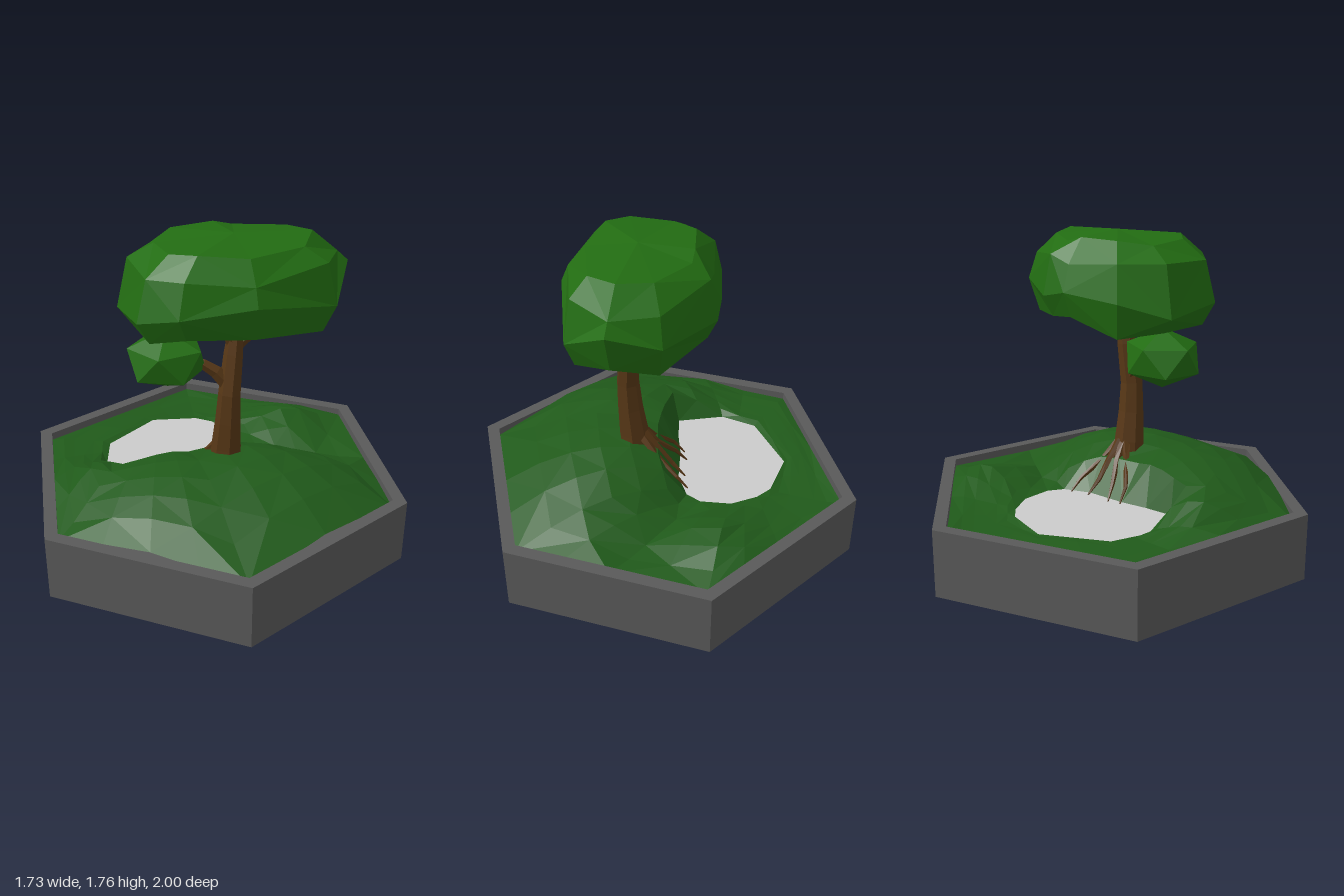
import * as THREE from 'three';

const mat = (color) => new THREE.MeshStandardMaterial({ color, flatShading: true });
const stone = mat(0x595959), grass = mat(0x205a1a), leaf = mat(0x226c12);
const bark = mat(0x573716), water = mat(0xcccccc);

function addMesh(parent, name, geometry, material) {
  const mesh = new THREE.Mesh(geometry, material);
  mesh.name = name;
  parent.add(mesh);
  return mesh;
}

// Skin a stack of closed rings (equal point counts, counter-clockwise from above, bottom to top)
function loft(rings) {
  const n = rings[0].length, pos = [], idx = [];
  rings.forEach((ring) => ring.forEach((p) => pos.push(...p)));
  for (let k = 0; k < rings.length - 1; k++) {
    for (let i = 0; i < n; i++) {
      const j = (i + 1) % n;
      const a = k * n + i, b = k * n + j, c = b + n, d = a + n;
      if ((i + k) % 2) idx.push(a, b, d, b, c, d);
      else idx.push(a, b, c, a, c, d);
    }
  }
  const g = new THREE.BufferGeometry();
  g.setAttribute('position', new THREE.Float32BufferAttribute(pos, 3));
  g.setIndex(idx);
  g.computeVertexNormals();
  return g;
}

// Tapered limb through points [x, y, z, radius]
function limb(points, sides) {
  const v = points.map((p) => new THREE.Vector3(p[0], p[1], p[2]));
  const up = new THREE.Vector3(0, 1, 0);
  const rings = points.map((p, k) => {
    const dir = v[Math.min(k + 1, v.length - 1)].clone().sub(v[Math.max(k - 1, 0)]).normalize();
    const q = new THREE.Quaternion().setFromUnitVectors(up, dir);
    return Array.from({ length: sides }, (_, i) => {
      const a = (i / sides) * Math.PI * 2;
      return new THREE.Vector3(Math.sin(a) * p[3], 0, Math.cos(a) * p[3]).applyQuaternion(q).add(v[k]).toArray();
    });
  });
  const end = v[v.length - 1].toArray();
  rings.push(rings[0].map(() => end));
  return loft(rings);
}

// Ground height: a broad hill in front of the pond and two low side mounds
function groundHeight(x, z) {
  const u = x / 0.82, v = (z - 0.25) / (z > 0.25 ? 0.62 : 0.45);
  const mound = (cx, cz) => 0.09 * Math.exp(-((x - cx) ** 2 + (z - cz) ** 2) / 0.035);
  const hill = 0.23 * Math.max(0, 1 - u * u - v * v);
  return 0.46 + hill + mound(-0.64, 0) + mound(0.48, -0.4);
}

// Outline of the pond, one point per 30 degrees of the hexagon
const pondOutline = [
  [-0.15, -0.05], [0.05, -0.1], [0.17, -0.18], [0.2, -0.26], [0.17, -0.41], [0.08, -0.52],
  [0, -0.57], [-0.24, -0.59], [-0.5, -0.37], [-0.53, -0.18], [-0.42, 0.04], [-0.28, 0],
];
const POND_Y = 0.46;

function makeGround() {
  const n = 24;
  const corner = (k) => [0.93 * Math.sin(k * Math.PI / 3), 0.93 * Math.cos(k * Math.PI / 3)];
  const mix = (a, b, t) => [a[0] + (b[0] - a[0]) * t, a[1] + (b[1] - a[1]) * t];
  const rings = [1, 0.8, 0.62, 0.45, 0.28, 0.12, 0].map((t) =>
    Array.from({ length: n }, (_, i) => {
      const h = Math.floor(i / 4), p = Math.floor(i / 2);
      const rim = mix(corner(h), corner(h + 1), (i % 4) / 4);
      const shore = mix(pondOutline[p], pondOutline[(p + 1) % 12], (i % 2) / 2);
      const [x, z] = mix(shore, rim, t);
      const bump = t === 0 || t === 1 ? 0 : 0.012 * Math.sin(i * 5.3 + t * 37);
      return [x, t === 0 ? POND_Y : groundHeight(x, z) + bump, z];
    }));
  return loft(rings);
}

// Crown outline [x, z, lower edge y, widest y]
const crownOutline = [
  [-0.39, 0.31, 1.34, 1.45], [-0.22, 0.43, 1.39, 1.5], [0.12, 0.45, 1.38, 1.54],
  [0.52, 0.28, 1.33, 1.46], [0.63, 0.05, 1.4, 1.59], [0.5, -0.16, 1.34, 1.5],
  [0.14, -0.3, 1.37, 1.47], [0, -0.28, 1.38, 1.5], [-0.31, -0.2, 1.31, 1.48], [-0.45, 0, 1.34, 1.41],
];

function makeCrown() {
  const cx = 0.08, cz = 0.09;
  const ring = (scale, height) => crownOutline.map((p, i) =>
    [cx + (p[0] - cx) * scale, height(p, i), cz + (p[1] - cz) * scale]);
  return loft([
    ring(0, () => 1.43),
    ring(0.5, () => 1.41),
    ring(0.88, (p) => p[2]),
    ring(1, (p) => p[3]),
    ring(0.9, (p, i) => 1.645 + 0.02 * Math.sin(i * 2.4)),
    ring(0.67, (p, i) => 1.735 + 0.015 * Math.sin(i * 1.9)),
    ring(0, () => 1.765),
  ]);
}

export function createModel() {
  const model = new THREE.Group();
  model.name = 'plantedTree';

  // Hexagonal planter with a tapered underside and a thin rim
  const profile = [[0, 0], [0.42, 0], [1, 0.17], [1, 0.5], [0.93, 0.5], [0.93, 0.4], [0, 0.4]];
  addMesh(model, 'planter',
    new THREE.LatheGeometry(profile.map((p) => new THREE.Vector2(...p)), 6), stone);

  // Grass and pond
  addMesh(model, 'grass', makeGround(), grass);
  const pondShape = new THREE.Shape(pondOutline.map(([x, z]) => new THREE.Vector2(x, -z)));
  const pond = addMesh(model, 'pond', new THREE.ShapeGeometry(pondShape), water);
  pond.rotation.x = -Math.PI / 2;
  pond.position.y = POND_Y;

  // Trunk, branches and roots
  const tree = new THREE.Group();
  tree.name = 'tree';
  model.add(tree);
  addMesh(tree, 'trunk', limb([
    [0.045, 0.55, 0.135, 0.085], [0.045, 0.7, 0.14, 0.075], [0.05, 0.85, 0.155, 0.064],
    [0.055, 1.0, 0.162, 0.056], [0.075, 1.2, 0.145, 0.048], [0.085, 1.3, 0.14, 0.038],
  ], 7), bark);
  const branches = [
    [[0.075, 1.24, 0.14, 0.035], [0.03, 1.33, 0.15, 0.022], [-0.07, 1.385, 0.17, 0.014], [-0.1, 1.43, 0.18, 0.01]],
    [[0.085, 1.24, 0.14, 0.035], [0.18, 1.3, 0.12, 0.023], [0.27, 1.335, 0.08, 0.018], [0.31, 1.43, 0.06, 0.013]],
    [[0.085, 1.27, 0.14, 0.032], [0.14, 1.33, 0.17, 0.02], [0.17, 1.44, 0.2, 0.014]],
    [[0.19, 1.3, 0.12, 0.02], [0.25, 1.32, 0.15, 0.016], [0.3, 1.38, 0.19, 0.012], [0.32, 1.42, 0.2, 0.01]],
    [[0.085, 1.27, 0.13, 0.03], [0.08, 1.34, 0.07, 0.02], [0.06, 1.44, 0.02, 0.013]],
    [[0.05, 1.04, 0.155, 0.04], [-0.01, 1.11, 0.145, 0.033], [-0.07, 1.15, 0.135, 0.026], [-0.16, 1.18, 0.12, 0.02]],
  ];
  branches.forEach((b) => addMesh(tree, 'branch', limb(b, 5), bark));
  const roots = [
    [[0.03, 0.7, 0.1, 0.03], [0.0, 0.62, 0.03, 0.018], [-0.07, 0.53, -0.05, 0.011], [-0.1, 0.46, -0.1, 0.004]],
    [[0.05, 0.7, 0.09, 0.03], [0.04, 0.6, 0.0, 0.018], [0.03, 0.53, -0.06, 0.012], [0.03, 0.46, -0.13, 0.004]],
    [[0.02, 0.7, 0.1, 0.028], [-0.04, 0.63, 0.06, 0.016], [-0.14, 0.53, -0.02, 0.01], [-0.16, 0.46, -0.07, 0.004]],
    [[0.06, 0.7, 0.1, 0.028], [0.09, 0.61, 0.01, 0.016], [0.12, 0.52, -0.11, 0.01], [0.12, 0.46, -0.17, 0.004]],
  ];
  roots.forEach((r) => addMesh(tree, 'root', limb(r, 5), bark));

  // Foliage: wide crown and a small side clump
  addMesh(tree, 'crown', makeCrown(), leaf);
  const clump = new THREE.IcosahedronGeometry(1, 0);
  clump.rotateZ(Math.atan(2 / (1 + Math.sqrt(5))));
  clump.scale(0.205, 0.145, 0.19);
  addMesh(tree, 'sideClump', clump, leaf).position.set(-0.24, 1.185, 0.12);

  return model;
}
